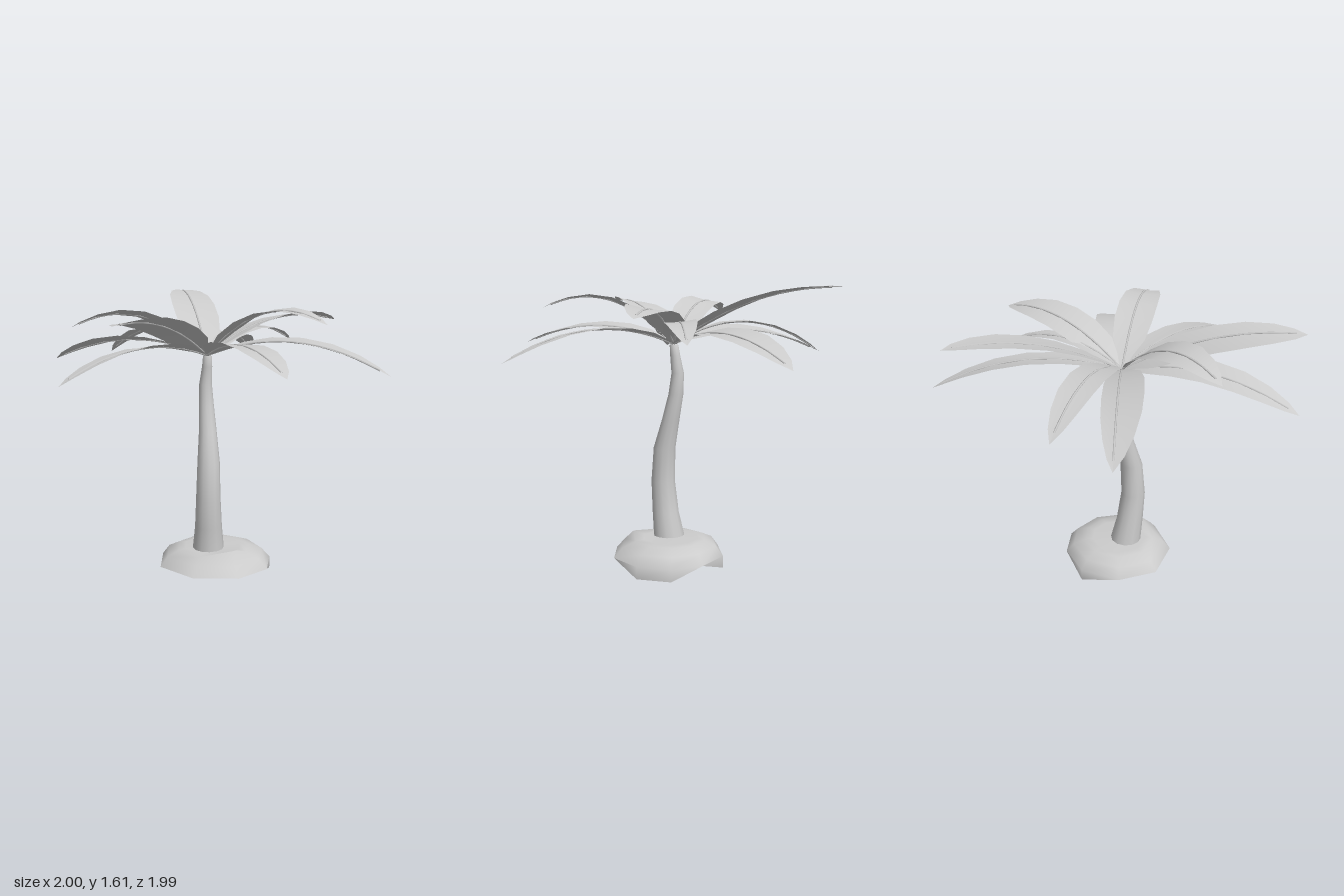
import * as THREE from 'three';

const material = new THREE.MeshStandardMaterial({ color: 0xcccccc, side: THREE.DoubleSide });

// Skin a list of equal-length cross-sections (arrays of Vector3)
function loft(rings, closed) {
  const n = rings[0].length, index = [];
  for (let i = 0; i < rings.length - 1; i++) {
    for (let j = 0; j < (closed ? n : n - 1); j++) {
      const k = (j + 1) % n, a = i * n, b = a + n;
      index.push(a + j, b + j, a + k, a + k, b + j, b + k);
    }
  }
  const geometry = new THREE.BufferGeometry().setFromPoints(rings.flat());
  geometry.setIndex(index);
  geometry.computeVertexNormals();
  return geometry;
}

function part(name, geometry) {
  const mesh = new THREE.Mesh(geometry, material);
  mesh.name = name;
  return mesh;
}

// Uneven mound, open underneath, with lower corners at the back
function createMound() {
  const rim = [
    [0.365, 0.07, 0], [0.28, 0.07, 0.2], [0.05, 0.07, 0.31], [-0.2, 0.07, 0.24], [-0.3, 0.07, 0.03],
    [-0.23, 0, -0.2], [-0.05, 0.07, -0.32], [0.14, 0, -0.32], [0.3, 0, -0.2],
  ];
  const ring = (scale, y) => rim.map(([x, , z]) => new THREE.Vector3(x * scale, y, z * scale));
  const top = ring(0.64, 0.155);
  top[1].set(0.21, 0.19, 0.1); // small lump
  const rings = [
    rim.map(p => new THREE.Vector3(...p)), ring(1, 0.07), ring(0.86, 0.125), top, ring(0.5, 0.16), ring(0, 0.165),
  ];
  return part('mound', loft(rings, true));
}

// Curved, tapering trunk: x, y, z, radius
function createTrunk() {
  const sides = 12;
  const sections = [
    [0.01, 0.065, 0.035, 0.098], [0.01, 0.17, 0.04, 0.09], [0.022, 0.3, 0.062, 0.078], [0.03, 0.48, 0.08, 0.07],
    [0.026, 0.68, 0.068, 0.064], [0.002, 0.85, 0.03, 0.051], [-0.02, 1.0, 0.005, 0.043],
    [-0.028, 1.12, -0.002, 0.036], [-0.015, 1.22, 0.004, 0.029], [-0.01, 1.28, 0.01, 0.025], [-0.01, 1.285, 0.01, 0],
  ];
  const rings = sections.map(([x, y, z, r]) => Array.from({ length: sides }, (_, i) => {
    const a = (i / sides) * Math.PI * 2;
    return new THREE.Vector3(x + r * Math.cos(a), y, z + r * Math.sin(a));
  }));
  return part('trunk', loft(rings, true));
}

// Leaf outline: position along the frond, share of full width
const outline = [
  [0, 0.12], [0.08, 0.38], [0.18, 0.82], [0.33, 0.98], [0.5, 1], [0.67, 0.93], [0.82, 0.7], [0.93, 0.38], [1, 0],
];
const fold = 0.08;

// Arching, leaning blade with a shallow fold and a midrib
function createFrond([x, y, z, midY, halfWidth, shift, roll]) {
  const root = new THREE.Vector3(-0.01, 1.285, 0.015);
  const tip = new THREE.Vector3(x, y, z);
  const bend = root.clone().add(tip).multiplyScalar(0.5);
  bend.y = 2 * midY - bend.y;
  const curve = new THREE.QuadraticBezierCurve3(root, bend, tip);
  const side = new THREE.Vector3(z - root.z, 0, root.x - x).normalize();
  const rings = outline.map(([t, share]) => [-1, 0, 1].map(s => {
    const offset = share * (s * halfWidth + Math.abs(s) * shift);
    const p = curve.getPoint(t).addScaledVector(side, offset);
    p.y += offset * roll + Math.abs(offset) * fold;
    return p;
  }));
  const ribPoints = Array.from({ length: 8 }, (_, i) => curve.getPoint(i * 0.94 / 7));
  const frond = new THREE.Group();
  frond.name = 'frond';
  frond.add(part('blade', loft(rings, false)));
  frond.add(part('midrib', new THREE.TubeGeometry(new THREE.CatmullRomCurve3(ribPoints), 14, 0.006, 5)));
  return frond;
}

// Frond tips x, y, z, then height halfway, half width, sideways shift and lean of the blade
const fronds = [
  [-1.0, 1.22, 0.08, 1.355, 0.106, 0.025, 0.17],
  [1.0, 1.21, -0.13, 1.375, 0.088, 0.05, 0],
  [0, 1.525, 0.99, 1.485, 0.138, -0.025, 0.2],
  [-0.34, 1.22, 0.95, 1.36, 0.105, 0, 0.17],
  [-0.2, 1.21, -1.0, 1.36, 0.12, 0.012, 0.12],
  [-0.6, 1.6, -0.79, 1.53, 0.13, 0, 0.03],
  [0.49, 1.45, -0.72, 1.475, 0.125, 0, -0.15],
  [-0.81, 1.24, -0.24, 1.41, 0.1, 0, 0],
  [0.72, 1.49, 0.11, 1.535, 0.11, -0.008, 0.04],
  [0.7, 1.28, 0.61, 1.385, 0.118, 0, -0.1],
  [-0.55, 1.46, 0.55, 1.515, 0.105, 0, 0.2],
  [0.21, 1.32, -0.7, 1.42, 0.085, 0, 0.1],
];

export function createModel() {
  const palm = new THREE.Group();
  palm.name = 'palmTree';
  const crown = new THREE.Group();
  crown.name = 'crown';
  fronds.forEach(f => crown.add(createFrond(f)));
  palm.add(createMound(), createTrunk(), crown);
  return palm;
}
